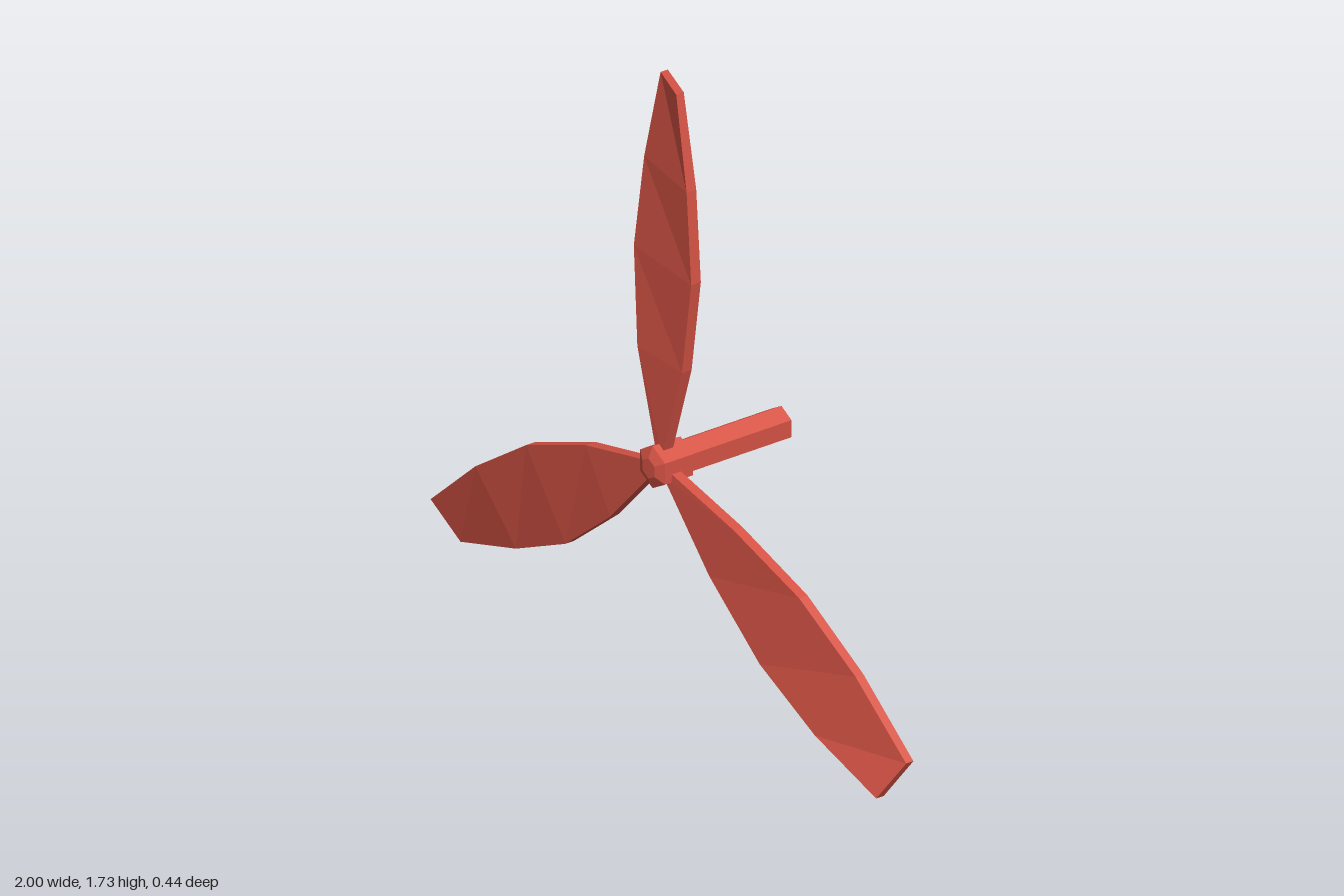
import * as THREE from 'three';

const AXIS_Y = 0.615;

// Blade sections: radius, half width, back z of trailing edge, trailing thickness
const SECTIONS = [
  [0.03, 0.014, 0.155, 0.03],
  [0.31, 0.1, 0.152, 0.03],
  [0.585, 0.14, 0.135, 0.028],
  [0.85, 0.12, 0.118, 0.026],
  [1.115, 0.066, 0.107, 0.024],
];

// Twisted four-sided loft pointing up, with its leading edge on +x
function bladeGeometry() {
  const rings = SECTIONS.map(([r, w, back, t], i) => {
    const front = i === SECTIONS.length - 1 ? 0.18 : 0.187;
    return [[-w, r, back], [w, r, 0.155], [w, r, front], [-w, r, back + t]];
  });
  const pos = [];
  const quad = (a, b, c, d) => pos.push(...a, ...b, ...c, ...a, ...c, ...d);
  for (let i = 0; i < rings.length - 1; i++) {
    const lo = rings[i], hi = rings[i + 1];
    for (let k = 0; k < 4; k++) {
      const n = (k + 1) % 4;
      quad(lo[k], hi[k], hi[n], lo[n]);
    }
  }
  const [a, b, c, d] = rings[0];
  quad(a, b, c, d);
  const [e, f, g, h] = rings[rings.length - 1];
  quad(h, g, f, e);
  const geo = new THREE.BufferGeometry();
  geo.setAttribute('position', new THREE.Float32BufferAttribute(pos, 3));
  geo.computeVertexNormals();
  return geo;
}

export function createModel() {
  const model = new THREE.Group();
  model.name = 'propeller';
  const red = new THREE.MeshStandardMaterial({ color: 0xd65345, flatShading: true });
  red.name = 'red';

  // Hexagonal prism along z with a corner at the top
  const hex = (name, rBack, rFront, z0, z1) => {
    const geo = new THREE.CylinderGeometry(rFront, rBack, z1 - z0, 6);
    geo.rotateX(Math.PI / 2);
    const mesh = new THREE.Mesh(geo, red);
    mesh.name = name;
    mesh.position.set(0, AXIS_Y, (z0 + z1) / 2);
    model.add(mesh);
  };
  hex('shaft', 0.05, 0.05, -0.22, 0.125);
  hex('hub', 0.062, 0.062, 0.115, 0.208);
  hex('hubCap', 0.062, 0.03, 0.208, 0.222);

  // Three blades around the hub
  const geo = bladeGeometry();
  for (let i = 0; i < 3; i++) {
    const blade = new THREE.Mesh(geo, red);
    blade.name = `blade${i + 1}`;
    blade.position.y = AXIS_Y;
    blade.rotation.z = (i * Math.PI * 2) / 3;
    model.add(blade);
  }
  return model;
}
